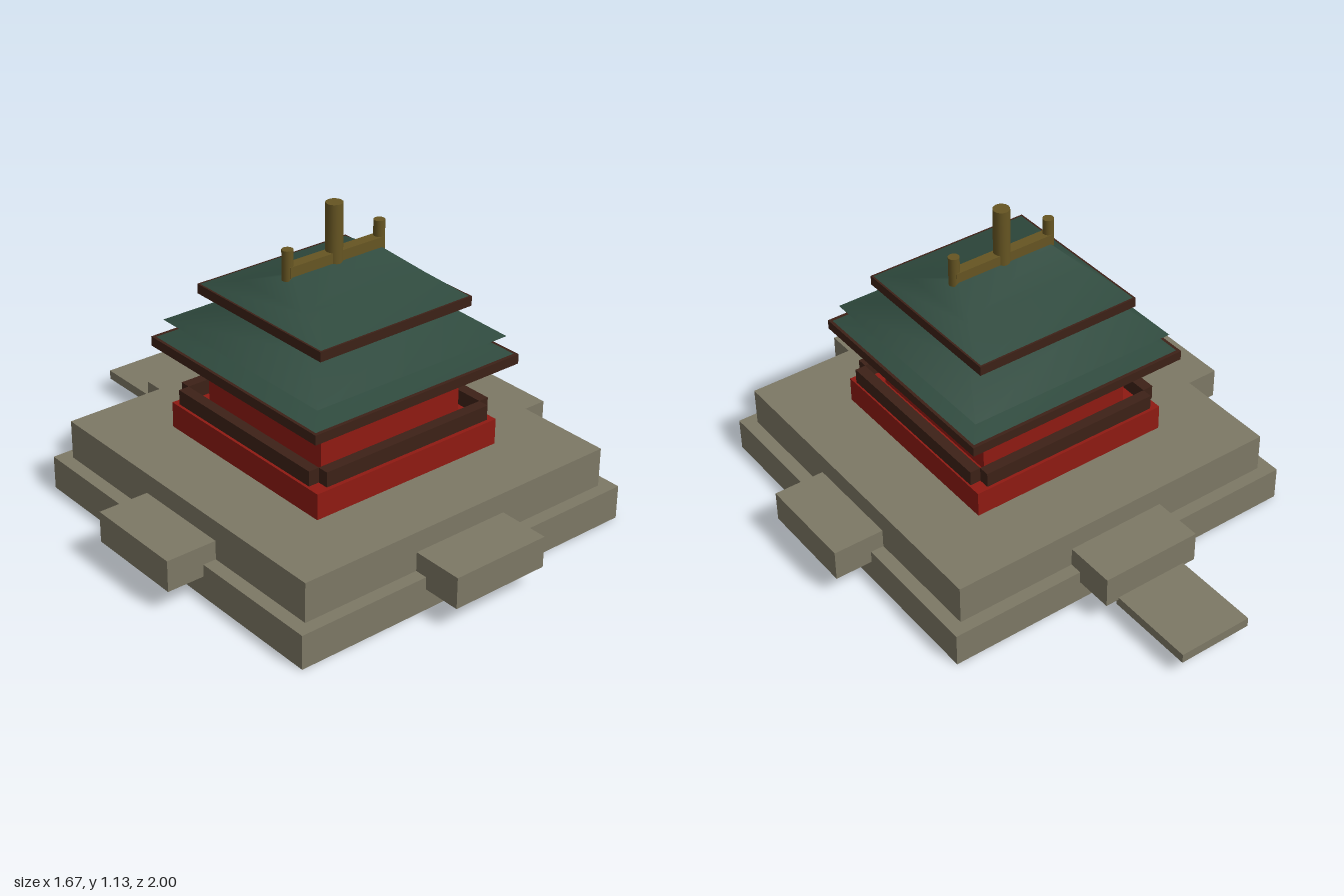
import * as THREE from 'three';

const material = (color, side = THREE.FrontSide) => new THREE.MeshStandardMaterial({ color, side });
const CZ = 0.165; // the pavilion stands a little forward of the origin

export function createModel() {
  const root = new THREE.Group();
  const stone = material(0x7d7865);
  const red = material(0x8f1a12);
  const wood = material(0x3d2117);
  const tile = material(0x2f4a3e, THREE.DoubleSide);
  const gold = material(0x665522);

  const add = (name, geometry, mat, x, y, z) => {
    const mesh = new THREE.Mesh(geometry, mat);
    mesh.name = name;
    mesh.position.set(x, y, z);
    root.add(mesh);
    return mesh;
  };

  // Box given by its half width, half depth and bottom / top heights
  const block = (name, mat, hx, hz, y0, y1, x = 0, z = CZ) =>
    add(name, new THREE.BoxGeometry(hx * 2, y1 - y0, hz * 2), mat, x, (y0 + y1) / 2, z);

  // Hipped roof lofted through rectangular rings [halfX, y, halfZ], softly shaded
  const roof = (name, rings) => {
    const pos = [], index = [];
    for (const [hx, y, hz] of rings)
      for (const [sx, sz] of [[1, 1], [1, -1], [-1, -1], [-1, 1]]) pos.push(sx * hx, y, sz * hz);
    for (let r = 0; r < rings.length - 1; r++)
      for (let i = 0; i < 4; i++) {
        const a = r * 4 + i, b = r * 4 + (i + 1) % 4;
        index.push(a, b, b + 4, a, b + 4, a + 4);
      }
    const top = (rings.length - 1) * 4;
    index.push(top, top + 1, top + 2, top, top + 2, top + 3);
    const geometry = new THREE.BufferGeometry();
    geometry.setAttribute('position', new THREE.Float32BufferAttribute(pos, 3));
    geometry.setIndex(index);
    geometry.computeVertexNormals();
    add(name, geometry, tile, 0, 0, CZ);
  };

  // Stone terraces
  block('lowerTerrace', stone, 0.695, 0.692, 0, 0.125);
  block('upperTerrace', stone, 0.645, 0.645, 0.125, 0.27);

  // Landings on all four sides, and the low rear step
  for (const s of [1, -1]) {
    block(s > 0 ? 'leftLanding' : 'rightLanding', stone, 0.1, 0.19, 0.08, 0.195, s * 0.735, CZ);
    block(s > 0 ? 'frontLanding' : 'backLanding', stone, 0.19, 0.1, 0.08, 0.195, 0, CZ + s * 0.735);
  }
  block('rearStep', stone, 0.14, 0.17, 0.055, 0.09, 0, -0.83);

  // Red walls
  block('plinth', red, 0.39, 0.392, 0.27, 0.365);
  block('mainHall', red, 0.3, 0.3, 0.365, 0.58);
  block('upperStorey', red, 0.192, 0.195, 0.66, 0.79);

  // Railing: four beams that leave the corners notched
  for (const s of [1, -1]) {
    block(s > 0 ? 'frontRail' : 'backRail', wood, 0.35, 0.02, 0.375, 0.43, 0, CZ + s * 0.37);
    block(s > 0 ? 'leftRail' : 'rightRail', wood, 0.02, 0.35, 0.375, 0.43, s * 0.37, CZ);
  }

  // Eave slabs and the three roofs
  block('lowerEave', wood, 0.436, 0.438, 0.58, 0.615);
  roof('lowerRoof', [[0.425, 0.615, 0.425], [0.275, 0.677, 0.215], [0.15, 0.76, 0.01]]);
  roof('middleRoof', [[0.405, 0.68, 0.408], [0.29, 0.768, 0.21], [0.18, 0.87, 0.01]]);
  block('upperEave', wood, 0.322, 0.322, 0.785, 0.82);
  roof('upperRoof', [[0.315, 0.82, 0.315], [0.255, 0.87, 0.165], [0.187, 0.932, 0.012]]);

  // Ridge ornaments
  block('ridgeBeam', gold, 0.2, 0.021, 0.925, 0.965);
  const post = (name, r, y0, y1, x) =>
    add(name, new THREE.CylinderGeometry(r, r, y1 - y0, 16), gold, x, (y0 + y1) / 2, CZ);
  post('centreFinial', 0.03, 0.915, 1.135, 0);
  for (const s of [1, -1]) post(s > 0 ? 'leftFinial' : 'rightFinial', 0.02, 0.915, 1.022, s * 0.195);

  return root;
}
